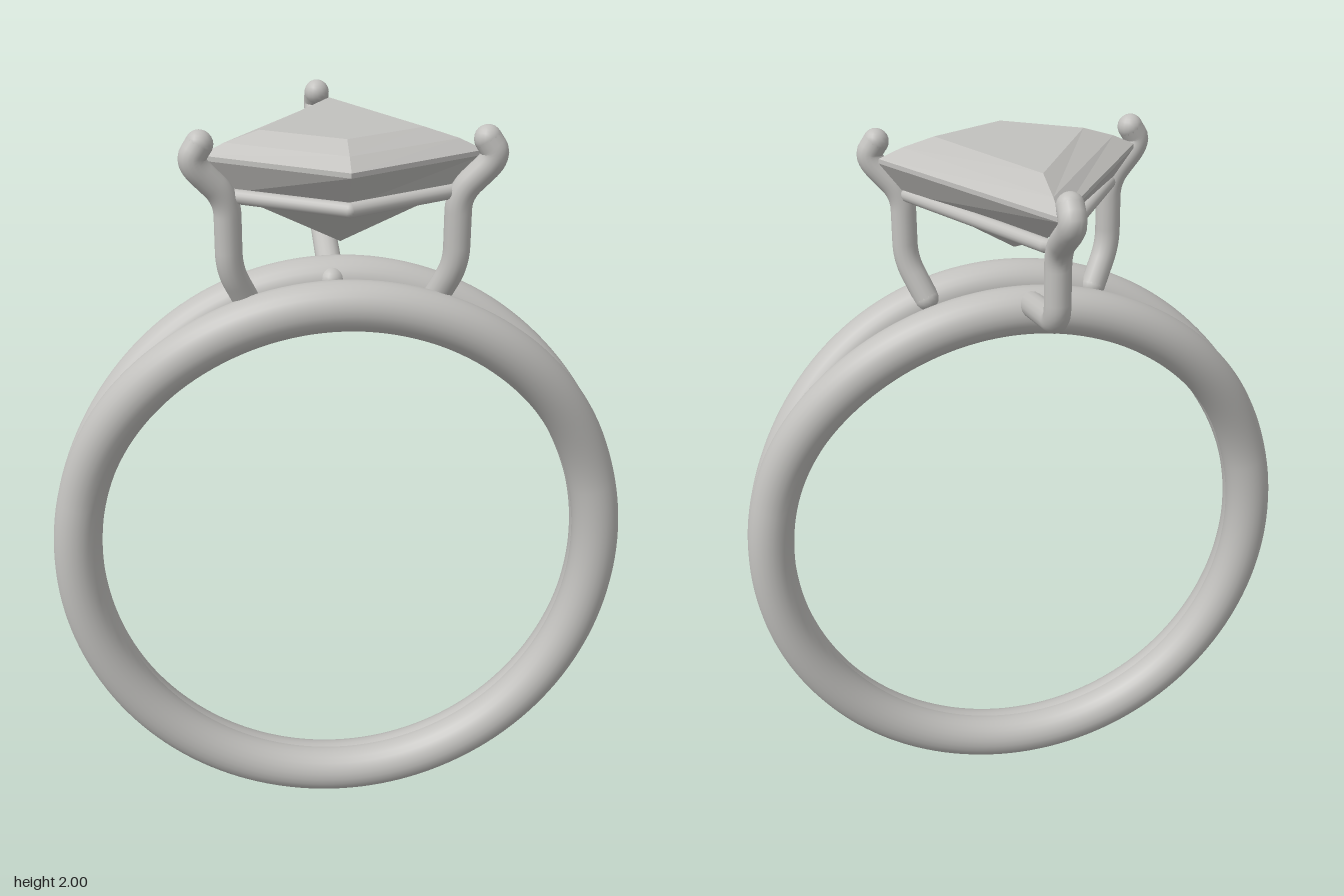
import * as THREE from 'three';

const metal = new THREE.MeshStandardMaterial({ color: 0xc2c1be });
metal.name = 'silver grey';

const V = (p) => new THREE.Vector3(...p);

// Polyline whose corners are softened by short quadratic bends
function bentPath(points, bend) {
  const pts = points.map(V);
  const path = new THREE.CurvePath();
  let from = pts[0];
  for (let i = 1; i < pts.length - 1; i++) {
    const toward = (q) => {
      const d = q.clone().sub(pts[i]);
      return pts[i].clone().addScaledVector(d.clone().normalize(), Math.min(bend, d.length() * 0.45));
    };
    const a = toward(pts[i - 1]), b = toward(pts[i + 1]);
    path.add(new THREE.LineCurve3(from, a));
    path.add(new THREE.QuadraticBezierCurve3(a, pts[i], b));
    from = b;
  }
  path.add(new THREE.LineCurve3(from, pts[pts.length - 1]));
  return path;
}

// Round wire with domed ends
function wire(name, points, radius, bend, segments = 60) {
  const group = new THREE.Group();
  group.name = name;
  const tube = new THREE.Mesh(
    new THREE.TubeGeometry(bentPath(points, bend), segments, radius, 16, false), metal);
  tube.name = name + 'Wire';
  group.add(tube);
  for (const p of [points[0], points[points.length - 1]]) {
    const cap = new THREE.Mesh(new THREE.SphereGeometry(radius, 16, 12), metal);
    cap.name = name + 'End';
    cap.position.set(...p);
    group.add(cap);
  }
  return group;
}

// One strand of the band: an oval loop that swings away from its twin near the top
class StrandCurve extends THREE.Curve {
  constructor(side) {
    super();
    this.side = side;
  }
  getPoint(t, target = new THREE.Vector3()) {
    const a = t * Math.PI * 2 - Math.PI / 2;
    const y = 0.81 + 0.743 * Math.sin(a);
    const spread = 0.013 + 0.096 * THREE.MathUtils.smoothstep(y, 0.98, 1.6);
    return target.set(0.72 * Math.cos(a), y, 0.149 + this.side * spread);
  }
}

// Faceted kite stone from stacked kite outlines [y, front z, half width, corner z, back z]
function stoneGeometry() {
  const layers = [
    [1.69, 0.155, 0, 0.155, 0.155],
    [1.835, 0.365, 0.28, 0.215, -0.22],
    [1.918, 0.437, 0.345, 0.225, -0.355],
    [1.93, 0.437, 0.345, 0.225, -0.355],
    [1.958, 0.39, 0.285, 0.217, -0.285],
    [1.985, 0.33, 0.2, 0.208, -0.18],
  ].map(([y, f, w, c, b]) => [[0, y, f], [w, y, c], [0, y, b], [-w, y, c]]);
  const tris = [];
  for (let l = 0; l < layers.length - 1; l++) {
    for (let i = 0; i < 4; i++) {
      const j = (i + 1) % 4, lo = layers[l], up = layers[l + 1];
      if (l > 0) tris.push(lo[i], lo[j], up[j]);
      tris.push(lo[i], up[j], up[i]);
    }
  }
  const [f, r, b, k] = layers[layers.length - 1];
  tris.push(f, r, b, f, b, k);
  const geo = new THREE.BufferGeometry();
  geo.setAttribute('position', new THREE.Float32BufferAttribute(tris.flat(), 3));
  geo.computeVertexNormals();
  return geo;
}

export function createModel() {
  const model = new THREE.Group();
  model.name = 'ring';

  // Split band
  for (const [name, side] of [['frontStrand', 1], ['backStrand', -1]]) {
    const strand = new THREE.Mesh(
      new THREE.TubeGeometry(new StrandCurve(side), 160, 0.065, 24, true), metal);
    strand.name = name;
    model.add(strand);
  }

  // Stone
  const stone = new THREE.Mesh(stoneGeometry(), metal);
  stone.name = 'kiteStone';
  model.add(stone);

  // Thin rail under the girdle
  model.add(wire('rail',
    [[0, 1.833, 0.395], [0.285, 1.833, 0.23], [0, 1.833, -0.28], [-0.285, 1.833, 0.23], [0, 1.833, 0.395]],
    0.018, 0.02, 100));

  // Side prongs
  for (const [name, s] of [['leftProng', 1], ['rightProng', -1]]) {
    model.add(wire(name,
      [[s * 0.235, 1.545, 0.205], [s * 0.283, 1.65, 0.24], [s * 0.283, 1.83, 0.245],
        [s * 0.372, 1.925, 0.27], [s * 0.345, 1.966, 0.265]],
      0.034, 0.045));
  }

  // Back prong, reaching out from the back strand
  model.add(wire('backProng',
    [[-0.015, 1.565, 0.085], [-0.015, 1.64, -0.278], [-0.015, 1.83, -0.278],
      [-0.018, 1.925, -0.412], [-0.018, 1.963, -0.375]],
    0.034, 0.05));

  return model;
}
